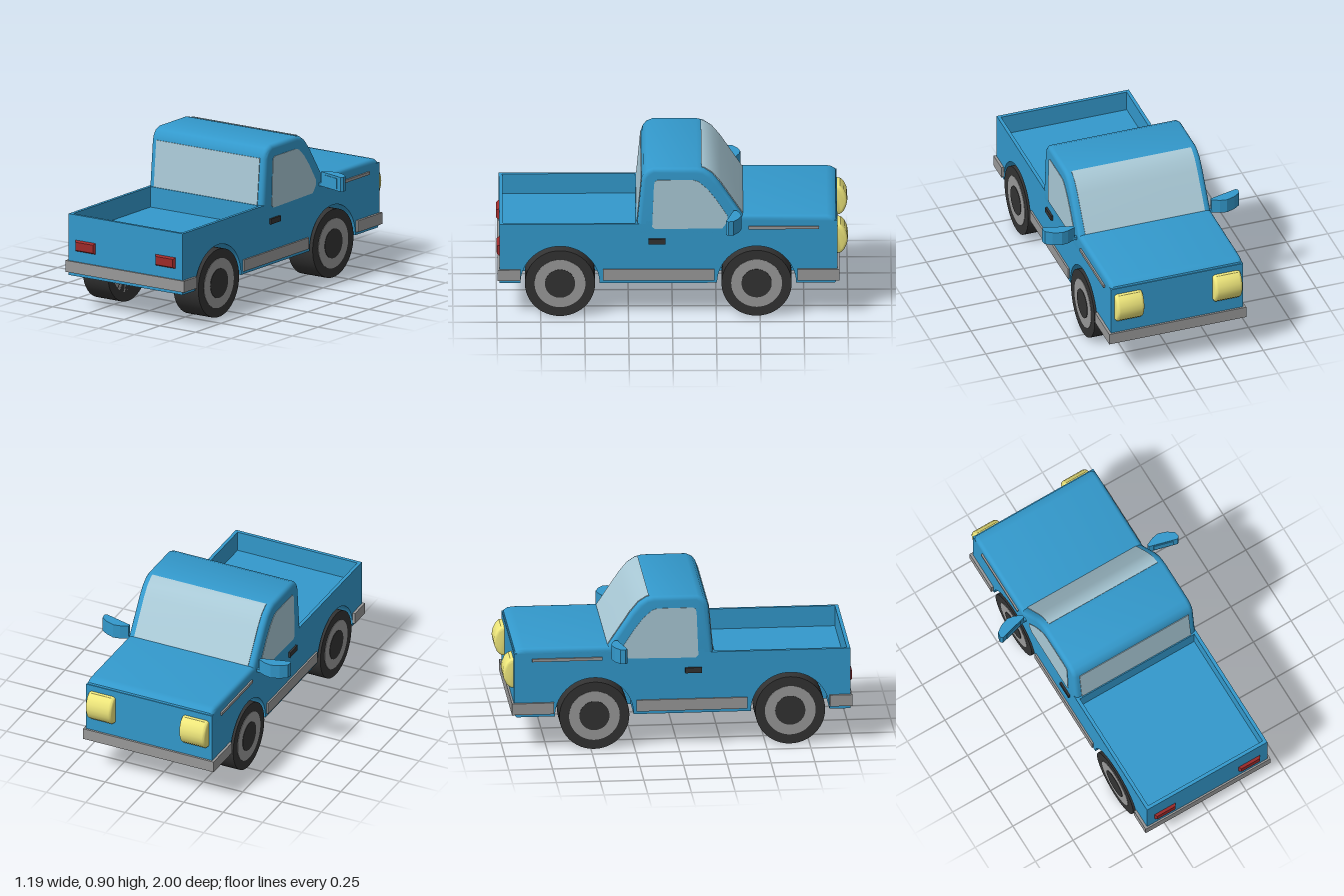
import * as THREE from 'three';
import { toCreasedNormals } from 'three/addons/utils/BufferGeometryUtils.js';

const mat = (color) => new THREE.MeshStandardMaterial({ color });
const PAINT = mat(0x3399cc), GLASS = mat(0xa9c9d6), GREY = mat(0x999999);
const DARK = mat(0x333333), RED = mat(0x9c2a2a), YELLOW = mat(0xf0e87c);

const FLOOR = 0.2, ARCH = 0.225, AXLES = [0.64, -0.48];

const polygon = (pts) => new THREE.Shape(pts.map(([a, b]) => new THREE.Vector2(a, b)));

// Side profile (z, y) extruded across the car from x0 to x1, with optional rounded side edges
function across(shape, x0, x1, bevel = 0) {
  const geo = new THREE.ExtrudeGeometry(shape, {
    depth: x1 - x0 - 2 * bevel, curveSegments: 24,
    bevelEnabled: bevel > 0, bevelThickness: bevel, bevelSize: bevel, bevelOffset: -bevel, bevelSegments: 4,
  });
  geo.rotateY(-Math.PI / 2).translate(x1 - bevel, 0, 0);
  return toCreasedNormals(geo, 0.6);
}

// Lower body side profile, with or without the load bed cut and the wheel arches
function bodyProfile(bed, arches) {
  const s = new THREE.Shape();
  s.moveTo(0.985, FLOOR);
  if (arches) for (const z of AXLES) {
    s.lineTo(z + ARCH, FLOOR);
    s.absarc(z, FLOOR, ARCH, 0, Math.PI, false);
  }
  const rest = [[-0.925, FLOOR], [-0.94, 0.22], [-0.94, 0.58], [0.15, 0.58], [0.15, 0.56]];
  if (bed) rest.push([0.21, 0.56], [0.21, 0.44], [0.965, 0.44], [0.965, 0.56]);
  rest.push([0.985, 0.56]);
  rest.forEach(([z, y]) => s.lineTo(z, y));
  s.closePath();
  return s;
}

export function createModel() {
  const model = new THREE.Group();
  const add = (name, geo, material, parent = model) => {
    const mesh = new THREE.Mesh(geo, material);
    mesh.name = name;
    parent.add(mesh);
    return mesh;
  };
  // Box given by its limits on each axis
  const block = (name, [x0, x1], [y0, y1], [z0, z1], material, parent) => {
    const geo = new THREE.BoxGeometry(x1 - x0, y1 - y0, z1 - z0);
    geo.translate((x0 + x1) / 2, (y0 + y1) / 2, (z0 + z1) / 2);
    return add(name, geo, material, parent);
  };

  // Lower body: centre, wheel well layers and thin outer sides
  add('bodyCentre', across(bodyProfile(true, false), -0.21, 0.21), PAINT);
  for (const s of [-1, 1]) {
    const span = (a, b) => (s > 0 ? [a, b] : [-b, -a]);
    add('bodyWheelWells', across(bodyProfile(true, true), ...span(0.21, 0.38)), PAINT);
    add('bodySide', across(bodyProfile(false, true), ...span(0.38, 0.4)), PAINT);
  }

  // Cab and hood with rounded side edges
  const cab = polygon([
    [0.21, 0.48], [0.2, 0.56], [0.175, 0.83], [0.165, 0.86], [0.145, 0.885], [0.11, 0.9],
    [-0.14, 0.9], [-0.18, 0.89], [-0.225, 0.86], [-0.27, 0.805], [-0.4, 0.61],
    [-0.88, 0.61], [-0.91, 0.605], [-0.932, 0.59], [-0.94, 0.565], [-0.94, 0.48],
  ]);
  add('cabAndHood', across(cab, -0.4, 0.4, 0.025), PAINT);

  // Windows
  add('windshield', across(polygon([
    [-0.403, 0.613], [-0.274, 0.808], [-0.228, 0.864], [-0.182, 0.894], [-0.165, 0.898],
    [-0.165, 0.88], [-0.22, 0.84], [-0.38, 0.61],
  ]), -0.362, 0.362), GLASS);
  add('rearWindow', across(polygon([
    [0.204, 0.56], [0.179, 0.83], [0.16, 0.83], [0.18, 0.56],
  ]), -0.362, 0.362), GLASS);
  const sideWindow = polygon([
    [0.115, 0.545], [0.105, 0.8], [0.1, 0.82], [0.085, 0.83], [-0.12, 0.83], [-0.15, 0.82],
    [-0.2, 0.775], [-0.25, 0.71], [-0.315, 0.61], [-0.315, 0.575], [-0.285, 0.535], [0.1, 0.53],
  ]);
  add('sideWindows', across(sideWindow, -0.403, 0.403), GLASS);

  // Bumpers wrapping around both ends
  block('rearBumper', [-0.415, 0.415], [0.218, 0.285], [0.866, 0.995], GREY);
  block('frontBumper', [-0.415, 0.415], [0.218, 0.285], [-0.952, -0.712], GREY);

  // Tapered tail light lens
  const tailLens = new THREE.BoxGeometry(0.16, 0.082, 0.03).toNonIndexed();
  const p = tailLens.attributes.position;
  for (let i = 0; i < p.count; i++) {
    if (p.getZ(i) > 0) p.setXY(i, p.getX(i) * 0.76, p.getY(i) * 0.58);
  }
  tailLens.computeVertexNormals();

  // Domed headlight
  const headlight = across(polygon([
    [-0.92, 0.365], [-0.958, 0.37], [-0.98, 0.39], [-0.995, 0.425], [-1, 0.455],
    [-0.995, 0.487], [-0.98, 0.52], [-0.958, 0.54], [-0.92, 0.545],
  ]), -0.083, 0.083, 0.018);

  // Door mirror shell, outlined from above as (x, -z)
  const mirrorShell = new THREE.ExtrudeGeometry(polygon([
    [0.415, 0.35], [0.582, 0.305], [0.594, 0.318], [0.588, 0.348],
    [0.55, 0.375], [0.5, 0.392], [0.46, 0.385], [0.415, 0.365],
  ]), { depth: 0.085, bevelEnabled: false });
  mirrorShell.rotateX(-Math.PI / 2).translate(0, 0.565, 0);

  for (const s of [-1, 1]) {
    const side = (a, b) => (s > 0 ? [a, b] : [-b, -a]);

    // Side trim and door handles
    block('sillTrim', side(0.39, 0.41), [0.218, 0.285], [-0.24, 0.395], GREY);
    block('hoodTrim', side(0.39, 0.41), [0.531, 0.548], [-0.835, -0.435], GREY);
    block('doorHandle', side(0.39, 0.412), [0.44, 0.472], [0.04, 0.135], DARK);

    // Lights
    add('tailLight', tailLens, RED).position.set(s * 0.28, 0.38, 0.985);
    add('headlight', headlight, YELLOW).position.set(s * 0.297, 0, 0);

    // Door mirrors
    const mirror = new THREE.Group();
    mirror.name = s > 0 ? 'leftMirror' : 'rightMirror';
    model.add(mirror);
    add('mirrorShell', mirrorShell, PAINT, mirror);
    block('mirrorArm', [0.385, 0.43], [0.565, 0.583], [-0.368, -0.348], PAINT, mirror);
    const plate = add('mirrorPlate', new THREE.BoxGeometry(0.115, 0.06, 0.008), PAINT, mirror);
    plate.position.set(0.4985, 0.6075, -0.3275);
    plate.rotation.y = -Math.atan2(0.045, 0.167);
    mirror.scale.x = s;

    // Wheels: tyre, rim ring and hub
    for (const z of AXLES) {
      const wheel = new THREE.Group();
      wheel.name = z > 0 ? 'rearWheel' : 'frontWheel';
      wheel.position.set(s * 0.3175, 0.2, z);
      wheel.rotation.z = -s * Math.PI / 2;
      model.add(wheel);
      const disc = (name, r, top, material) => add(name,
        new THREE.CylinderGeometry(r, r, top + 0.0875, 48).translate(0, (top - 0.0875) / 2, 0), material, wheel);
      disc('tyre', 0.2, 0.0875, DARK);
      disc('rim', 0.145, 0.09, GREY);
      disc('hub', 0.086, 0.0925, DARK);
    }
  }
  return model;
}
